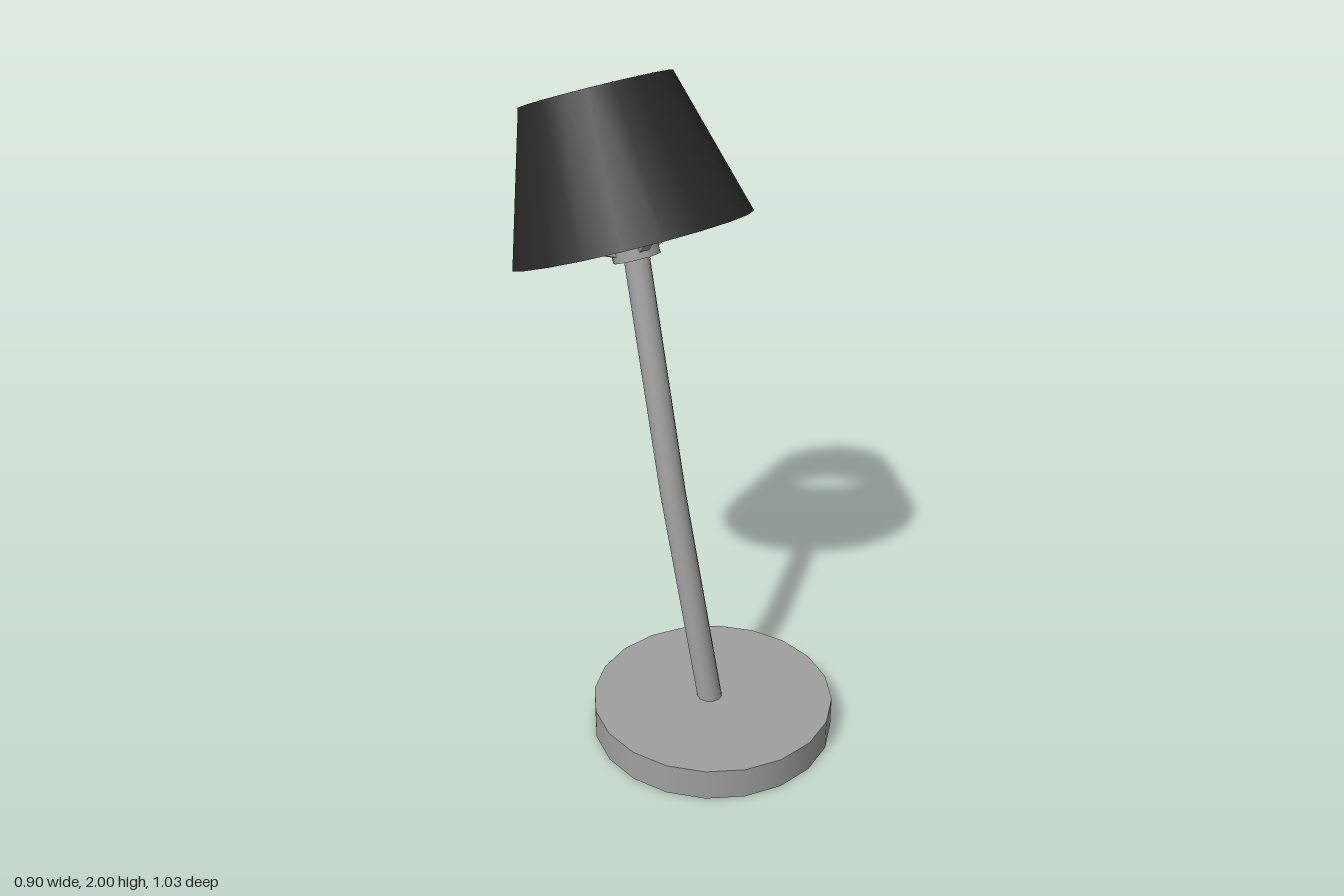
import * as THREE from 'three';
import { toCreasedNormals } from 'three/addons/utils/BufferGeometryUtils.js';

export function createModel() {
  const model = new THREE.Group();
  model.name = 'tableLamp';
  const metal = new THREE.MeshStandardMaterial({ color: 0xa0a0a0 });
  metal.name = 'grey metal';
  const fabric = new THREE.MeshStandardMaterial({ color: 0x282828 });
  fabric.name = 'black fabric';

  const add = (parent, name, geometry, material) => {
    const mesh = new THREE.Mesh(geometry, material);
    mesh.name = name;
    parent.add(mesh);
    return mesh;
  };

  // Round foot
  add(model, 'base', new THREE.CylinderGeometry(0.375, 0.375, 0.1, 20), metal)
    .position.set(0.075, 0.05, 0.14);

  // Bent pole: each ring of a two-segment cylinder is moved onto the path
  const path = [[0.066, 0.09, 0.142], [-0.035, 0.8, 0.068], [-0.089, 1.475, -0.155]];
  const poleGeo = new THREE.CylinderGeometry(0.039, 0.039, 2, 12, 2);
  const pos = poleGeo.attributes.position;
  for (let i = 0; i < pos.count; i++) {
    const [x, y, z] = path[Math.round(pos.getY(i) + 1)];
    pos.setXYZ(i, pos.getX(i) + x, y, pos.getZ(i) + z);
  }
  add(model, 'pole', toCreasedNormals(poleGeo, 0.7), metal);

  // Tilted head: local y is the shade axis, origin at the middle of its lower rim
  const head = new THREE.Group();
  head.name = 'head';
  const axis = new THREE.Vector3(-0.172, 0.942, -0.287).normalize();
  const side = axis.clone().cross(new THREE.Vector3(0.19, 0.324, 0.93)).normalize();
  const front = side.clone().cross(axis);
  head.quaternion.setFromRotationMatrix(new THREE.Matrix4().makeBasis(side, axis, front));
  head.position.set(-0.097, 1.515, -0.17);
  model.add(head);

  // Open conical shade with wall thickness
  const profile = [[0.36, 0], [0.227, 0.435], [0.214, 0.435], [0.347, 0], [0.36, 0]]
    .map(([r, y]) => new THREE.Vector2(r, y));
  const shadeGeo = new THREE.LatheGeometry(profile, 20, Math.PI / 20);
  add(head, 'shade', toCreasedNormals(shadeGeo, 0.6), fabric);

  // Hub on top of the pole
  add(head, 'hub', new THREE.CylinderGeometry(0.071, 0.071, 0.036, 12), metal).position.y = -0.037;

  // Four spokes rising from the hub to the shade wall
  const start = { r: 0.03, y: -0.04 }, end = { r: 0.325, y: 0.08 };
  const run = end.r - start.r, rise = end.y - start.y;
  for (let i = 0; i < 4; i++) {
    const arm = new THREE.Group();
    arm.name = 'spokeArm';
    arm.rotation.y = i * Math.PI / 2;
    head.add(arm);
    const spoke = add(arm, 'spoke', new THREE.BoxGeometry(0.03, 0.02, Math.hypot(run, rise)), metal);
    spoke.position.set(0, (start.y + end.y) / 2, (start.r + end.r) / 2);
    spoke.rotation.x = -Math.atan2(rise, run);
  }
  return model;
}
